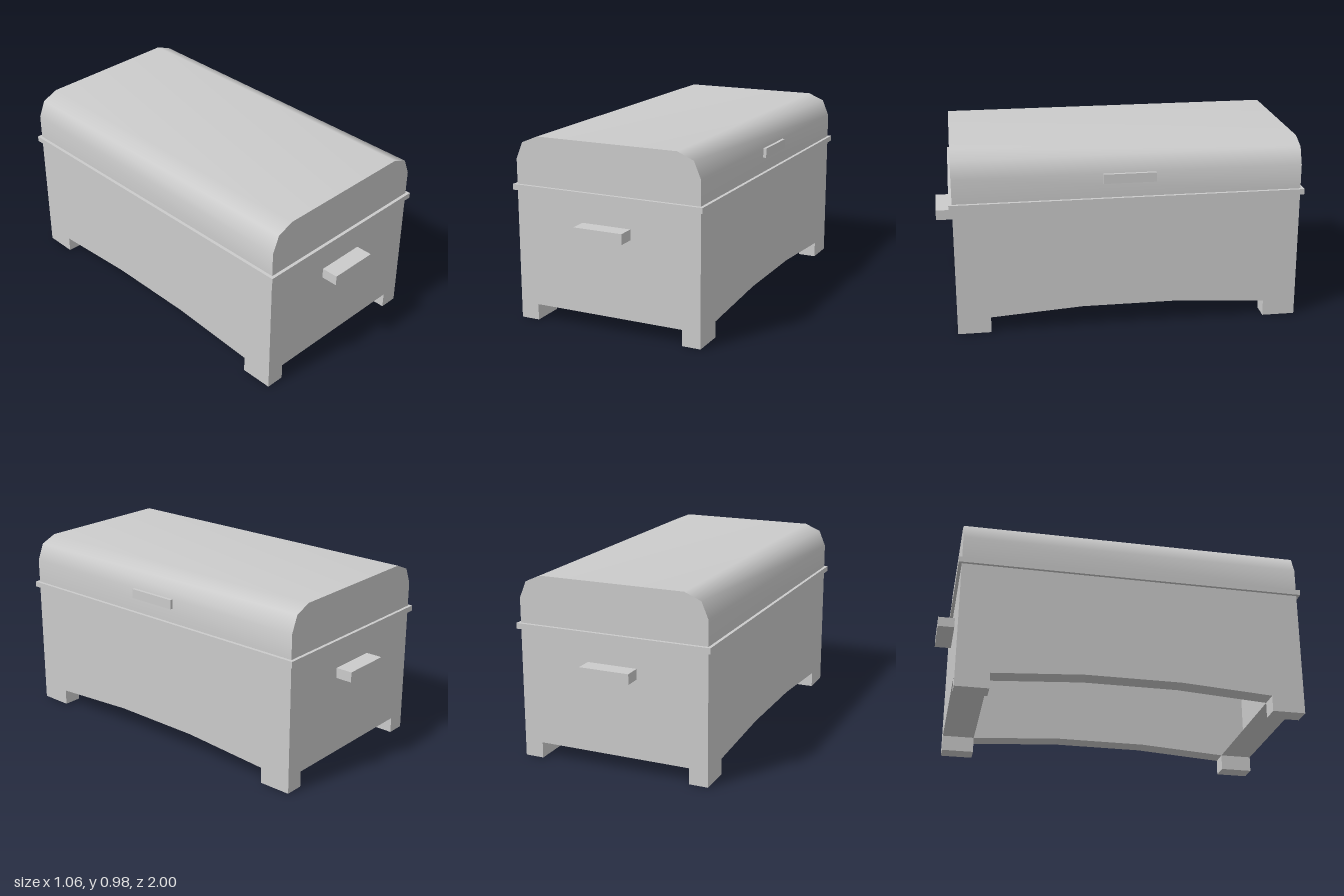
import * as THREE from 'three';

const W = 0.515, D = 0.91;             // half width and half depth of the shell
const LEG_W = 0.1, LEG_D = 0.175, LEG_H = 0.085;
const RIM_LOW = 0.69, RIM_HIGH = 0.72, RIM_OUT = 0.017;

const material = new THREE.MeshStandardMaterial({ color: 0xcccccc, side: THREE.DoubleSide });

// Surface between two matching polylines
function ribbon(a, b, smooth = false) {
  const positions = [], index = [];
  a.forEach((p, i) => {
    positions.push(...p, ...b[i]);
    if (i < a.length - 1) {
      const k = i * 2;
      index.push(k, k + 1, k + 2, k + 1, k + 3, k + 2);
    }
  });
  let geo = new THREE.BufferGeometry();
  geo.setAttribute('position', new THREE.Float32BufferAttribute(positions, 3));
  geo.setIndex(index);
  if (!smooth) geo = geo.toNonIndexed();
  geo.computeVertexNormals();
  return geo;
}

const shapeOf = (pts) => new THREE.Shape(pts.map(([x, y]) => new THREE.Vector2(x, y)));

// Closed rectangular loop at height y, grown outward by g
function loopAt(y, g) {
  return [[1, 1], [-1, 1], [-1, -1], [1, -1], [1, 1]].map(([sx, sz]) => [sx * (W + g), y, sz * (D + g)]);
}

export function createModel() {
  const model = new THREE.Group();
  const add = (name, geo, parent = model) => {
    const mesh = new THREE.Mesh(geo, material);
    mesh.name = name;
    parent.add(mesh);
    return mesh;
  };

  // Lower edge of the long sides as [z, y]: a shallow arch between the legs
  const zi = D - LEG_D, xi = W - LEG_W;
  const arch = [[-zi, LEG_H], [-0.25, 0.117], [0.25, 0.117], [zi, LEG_H]];
  const sideShape = shapeOf([[-D, LEG_H], ...arch, [D, LEG_H], [D, RIM_LOW], [-D, RIM_LOW]]);

  // End wall, open behind the hollow handle
  const hx = 0.135, hy0 = 0.505, hy1 = 0.56;
  const endShape = shapeOf([[-W, LEG_H], [W, LEG_H], [W, RIM_LOW], [-W, RIM_LOW]]);
  endShape.holes.push(new THREE.Path([[-hx, hy0], [-hx, hy1], [hx, hy1], [hx, hy0]]
    .map(([x, y]) => new THREE.Vector2(x, y))));

  // Lid cross-section
  const half = [[W, RIM_HIGH], [W, 0.85], [0.478, 0.938], [0.39, 0.975]];
  const lidProfile = [...half.map(([x, y]) => [-x, y]), ...half.slice().reverse()];
  const lidEndShape = shapeOf(lidProfile.slice().reverse());

  for (const s of [1, -1]) {
    // Long sides and their underside strips
    const side = add(s > 0 ? 'leftWall' : 'rightWall', new THREE.ShapeGeometry(sideShape));
    side.position.x = s * W;
    side.rotation.y = s * Math.PI / 2;
    const [x0, x1] = s > 0 ? [xi, W] : [-W, -xi];
    add('sideRail', ribbon(arch.map(([z, y]) => [x0, y, z]), arch.map(([z, y]) => [x1, y, z])));

    // Ends: wall, lid end, underside strip and handle
    const end = new THREE.Group();
    end.name = s > 0 ? 'frontEnd' : 'backEnd';
    end.rotation.y = s > 0 ? 0 : Math.PI;
    model.add(end);
    add('endWall', new THREE.ShapeGeometry(endShape), end).position.z = D;
    add('lidEnd', new THREE.ShapeGeometry(lidEndShape), end).position.z = D;
    add('endRail', ribbon([[-xi, LEG_H, zi], [-xi, LEG_H, D]], [[xi, LEG_H, zi], [xi, LEG_H, D]]), end);
    const handle = new THREE.BoxGeometry(hx * 2, hy1 - hy0, 1 - D);
    handle.setIndex(Array.from(handle.index.array).slice(0, 30)); // no inner face
    handle.clearGroups();
    add('handle', handle, end).position.set(0, (hy0 + hy1) / 2, (1 + D) / 2);

    // Legs
    for (const t of [1, -1]) {
      add('leg', new THREE.BoxGeometry(LEG_W, LEG_H, LEG_D))
        .position.set(s * (W - LEG_W / 2), LEG_H / 2, t * (D - LEG_D / 2));
    }
  }

  // Lid, smoothly rounded across its width
  add('lid', ribbon(lidProfile.map(([x, y]) => [x, y, -D]), lidProfile.map(([x, y]) => [x, y, D]), true));

  // Hollow rim between body and lid
  const rim = [[RIM_LOW, 0], [RIM_LOW, RIM_OUT], [RIM_HIGH, RIM_OUT], [RIM_HIGH, 0]];
  for (let i = 0; i < 3; i++) add('rim', ribbon(loopAt(...rim[i]), loopAt(...rim[i + 1])));

  // Lid grip on the left side
  add('lidGrip', new THREE.BoxGeometry(RIM_OUT, 0.05, 0.275)).position.set(W + RIM_OUT / 2, 0.824, 0);

  return model;
}
